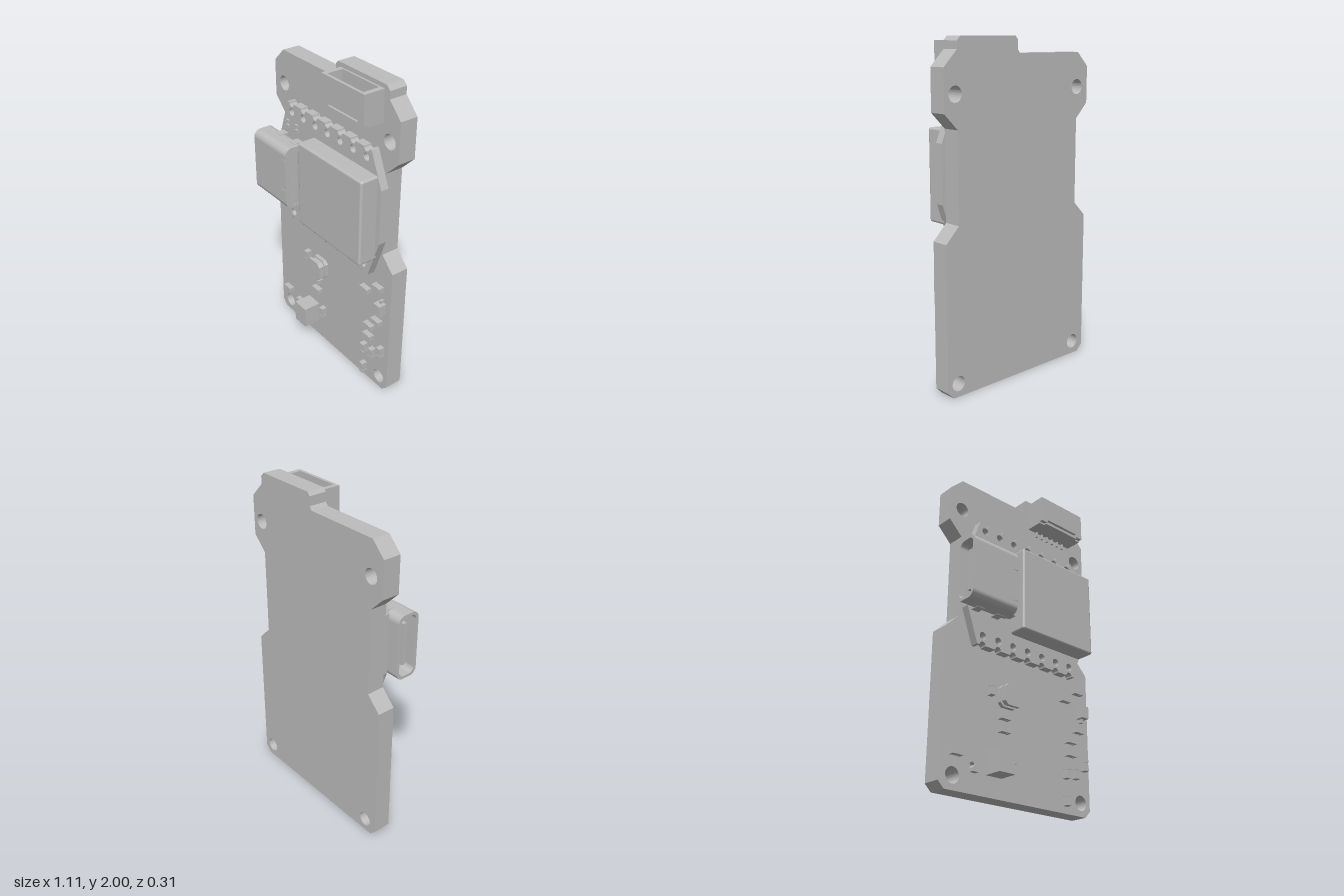
import * as THREE from 'three';
import { RoundedBoxGeometry } from 'three/addons/geometries/RoundedBoxGeometry.js';

const grey = new THREE.MeshStandardMaterial({ color: 0xbcbcbc });
const TOP = -0.04; // front surface of the main board
const BACK = -0.15;

function add(parent, name, geometry, x = 0, y = 0, z = 0) {
  const mesh = new THREE.Mesh(geometry, grey);
  mesh.name = name;
  mesh.position.set(x, y, z);
  parent.add(mesh);
  return mesh;
}

const polygon = (points) => new THREE.Shape(points.map(([x, y]) => new THREE.Vector2(x, y)));

const extrude = (shape, depth) =>
  new THREE.ExtrudeGeometry(shape, { depth, bevelEnabled: false, curveSegments: 14 });

function punch(shape, x, y, r) {
  shape.holes.push(new THREE.Path().absarc(x, y, r, 0, Math.PI * 2, true));
}

// Box between two opposite corners
function block(parent, name, [x0, y0, z0], [x1, y1, z1]) {
  return add(parent, name, new THREE.BoxGeometry(x1 - x0, y1 - y0, z1 - z0),
    (x0 + x1) / 2, (y0 + y1) / 2, (z0 + z1) / 2);
}

function roundedRect(target, x0, y0, x1, y1, r) {
  target.moveTo(x0 + r, y0);
  target.absarc(x1 - r, y0 + r, r, -Math.PI / 2, 0);
  target.absarc(x1 - r, y1 - r, r, 0, Math.PI / 2);
  target.absarc(x0 + r, y1 - r, r, Math.PI / 2, Math.PI);
  target.absarc(x0 + r, y0 + r, r, Math.PI, Math.PI * 1.5);
  return target;
}

// Rectangular chip: a body with two end terminals along its long side
function chip(parent, x, y, w, h, top = -0.003) {
  const g = new THREE.Group();
  g.name = 'chip';
  g.position.set(x, y, TOP);
  const d = top - TOP;
  const wide = w > h;
  const cap = 0.25 * Math.max(w, h);
  add(g, 'chipBody', wide
    ? new THREE.BoxGeometry(w - 2 * cap, h - 0.003, d - 0.003)
    : new THREE.BoxGeometry(w - 0.003, h - 2 * cap, d - 0.003), 0, 0, d / 2 - 0.0015);
  for (const s of [-1, 1]) {
    if (wide) add(g, 'chipTerminal', new THREE.BoxGeometry(cap, h, d), s * (w - cap) / 2, 0, d / 2);
    else add(g, 'chipTerminal', new THREE.BoxGeometry(w, cap, d), 0, s * (h - cap) / 2, d / 2);
  }
  parent.add(g);
}

function mainBoard(model) {
  const shape = polygon([
    [-0.515, 0], [0.515, 0], [0.555, 0.04], [0.555, 0.9], [0.465, 0.99], [0.465, 1.51],
    [0.555, 1.6], [0.555, 1.84], [0.465, 1.93], [0.465, 1.975], [0.44, 2], [0.045, 2],
    [0.027, 1.98], [0.027, 1.925], [0.01, 1.905], [-0.47, 1.905], [-0.555, 1.82],
    [-0.555, 1.6], [-0.465, 1.51], [-0.465, 0.99], [-0.555, 0.9], [-0.555, 0.04],
  ]);
  for (const x of [-0.465, 0.48]) for (const y of [0.08, 1.7]) punch(shape, x, y, 0.045);
  add(model, 'mainBoard', extrude(shape, TOP - BACK), 0, 0, BACK);
}

function controllerModule(model) {
  const g = new THREE.Group();
  g.name = 'controllerModule';
  model.add(g);

  // Board with pad holes and half-round edge notches
  const pads = Array.from({ length: 7 }, (_, i) => -0.325 + i * 0.114);
  const [y0, y1, r] = [0.835, 1.635, 0.022];
  const shape = new THREE.Shape().moveTo(-0.365, y0);
  for (const x of pads) shape.lineTo(x - r, y0).absarc(x, y0, r, Math.PI, 0, true);
  shape.lineTo(0.4, y0).lineTo(0.487, 1.09).lineTo(0.487, 1.43).lineTo(0.4, y1);
  for (const x of [...pads].reverse()) shape.lineTo(x + r, y1).absarc(x, y1, r, 0, -Math.PI, true);
  shape.lineTo(-0.365, y1).lineTo(-0.44, 1.42).lineTo(-0.44, 1.05).closePath();
  for (const x of pads) for (const y of [0.893, 1.58]) punch(shape, x, y, 0.023);
  add(g, 'moduleBoard', extrude(shape, 0.05), 0, 0, TOP);

  // Metal shield
  const shield = new RoundedBoxGeometry(0.57, 0.535, 0.13, 3, 0.014);
  add(g, 'shield', shield, 0.17, 1.2375, 0.055);

  // Small parts beside the socket
  for (const x of [-0.357, -0.27]) {
    for (const y of [1.48, 1.512]) block(g, 'moduleChip', [x - 0.013, y - 0.01, 0.005], [x + 0.013, y + 0.01, 0.022]);
  }
}

function cableSocket(model) {
  const g = new THREE.Group();
  g.name = 'cableSocket';
  model.add(g);
  // Shell cross-section runs along x, open on the right side
  const shell = roundedRect(new THREE.Shape(), -0.155, 1.03, -0.01, 1.43, 0.045);
  shell.holes.push(roundedRect(new THREE.Path(), -0.138, 1.047, -0.027, 1.413, 0.035));
  add(g, 'socketShell', extrude(shell, 0.325).rotateY(Math.PI / 2), -0.517);
  block(g, 'socketBack', [-0.26, 1.045, 0.03], [-0.195, 1.415, 0.135]);
  block(g, 'socketTongue', [-0.49, 1.1, 0.07], [-0.25, 1.36, 0.095]);
  block(g, 'socketTail', [-0.2, 1.06, 0.01], [-0.13, 1.4, 0.068]);
  // Raised spring tabs on the front of the shell
  for (const y of [1.13, 1.33]) {
    block(g, 'springTab', [-0.23, y - 0.03, 0.15], [-0.195, y + 0.03, 0.158]);
  }
  // Mounting feet
  for (const x of [-0.39, -0.245]) for (const y of [1.035, 1.425]) {
    block(g, 'socketFoot', [x - 0.025, y - 0.007, 0], [x + 0.025, y + 0.007, 0.07]);
  }
}

function wireConnector(model) {
  const g = new THREE.Group();
  g.name = 'wireConnector';
  model.add(g);
  // Housing cross-section runs upwards, open at the top
  const wall = polygon([[0.07, -0.09], [0.425, -0.09], [0.425, 0.04], [0.07, 0.04]]);
  wall.holes.push(polygon([[0.1, -0.072], [0.1, 0.028], [0.395, 0.028], [0.395, -0.072]]));
  add(g, 'housing', extrude(wall, 0.155).rotateX(-Math.PI / 2), 0, 1.82, 0);
  block(g, 'housingBase', [0.07, 1.79, TOP], [0.425, 1.85, 0.066]);
  for (const x of [0.07, 0.375]) block(g, 'housingCorner', [x, 1.8, 0.06], [x + 0.05, 1.825, 0.09]);
  block(g, 'housingLip', [0.11, 1.79, 0.06], [0.385, 1.806, 0.085]);
  for (let i = 0; i < 6; i++) {
    const x = 0.135 + i * 0.045;
    block(g, 'contactPin', [x - 0.006, 1.84, 0.035], [x + 0.006, 1.94, 0.047]);
    block(g, 'solderLead', [x - 0.006, 1.755, TOP], [x + 0.006, 1.8, -0.025]);
  }
}

function components(model) {
  const g = new THREE.Group();
  g.name = 'components';
  model.add(g);

  // Horizontal chips
  for (const [x, y] of [[0.457, 0.76], [0.348, 0.687], [0.457, 0.512], [0.39, 0.435],
    [0.387, 0.355], [-0.13, 0.465], [-0.13, 0.388], [-0.457, 0.2]]) chip(g, x, y, 0.07, 0.032);
  // Vertical chips
  for (const [x, y] of [[0.503, 0.305], [0.427, 0.245], [0.35, 0.235], [0.35, 0.077],
    [-0.228, 0.605], [-0.07, 0.24]]) chip(g, x, y, 0.033, 0.07);

  // Indicator lamp with a narrow waist
  const lamp = polygon([[-0.355, 0.115], [-0.315, 0.115], [-0.315, 0.135], [-0.325, 0.15],
    [-0.315, 0.165], [-0.315, 0.185], [-0.355, 0.185], [-0.355, 0.165], [-0.345, 0.15], [-0.355, 0.135]]);
  add(g, 'indicatorLamp', extrude(lamp, 0.03), 0, 0, TOP);

  // Diode with a lead at each end
  block(g, 'diodeBody', [0.462, 0.594, TOP], [0.517, 0.67, 0.012]);
  block(g, 'diodeLead', [0.482, 0.57, TOP], [0.496, 0.69, -0.015]);

  // Tall block sensor
  block(g, 'blockSensor', [-0.243, 0.118, TOP], [-0.132, 0.26, 0.075]);

  // Square chip with cut corners on a slightly larger foot
  const cut = (h, c) => polygon([[-h, c - h], [c - h, -h], [h - c, -h], [h, c - h],
    [h, h - c], [h - c, h], [c - h, h], [-h, h - c]]);
  add(g, 'coilFoot', extrude(cut(0.064, 0.022), 0.025), -0.103, 0.587, TOP);
  add(g, 'coilBody', extrude(cut(0.054, 0.02), 0.05), -0.103, 0.587, TOP);
  add(g, 'coilTop', extrude(cut(0.064, 0.022), 0.02), -0.103, 0.587, 0.008);
}

export function createModel() {
  const model = new THREE.Group();
  model.name = 'circuitBoard';
  mainBoard(model);
  controllerModule(model);
  cableSocket(model);
  wireConnector(model);
  components(model);
  return model;
}
